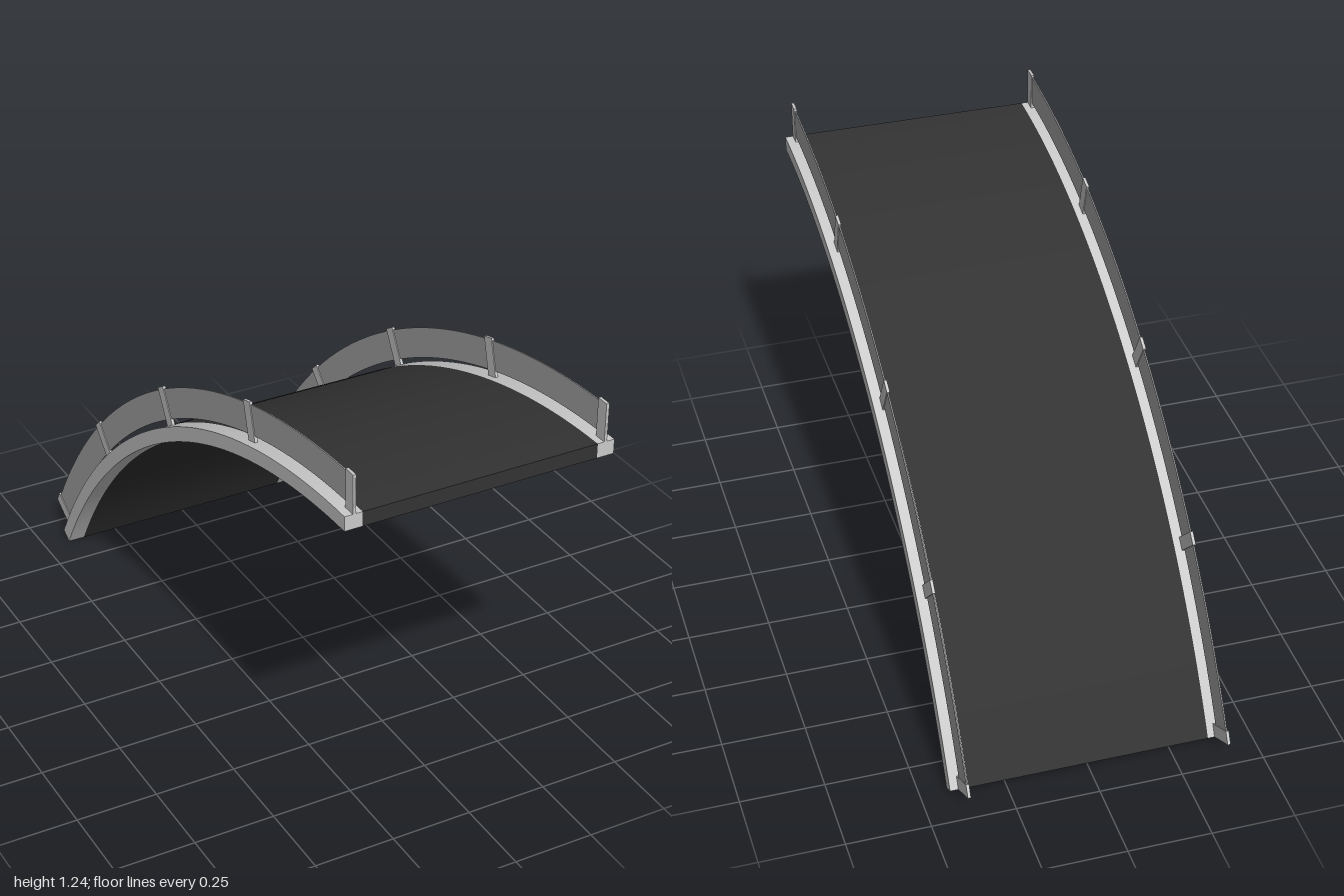
import * as THREE from 'three';
import { toCreasedNormals } from 'three/addons/utils/BufferGeometryUtils.js';

const SWEEP = Math.PI / 3; // the bridge half spans 60 degrees
const CENTRE_Y = -1.075;   // arc centre lies below the crown, at z = 1
const CENTRE_Z = 1;
const INNER = 2.15, OUTER = 2.195;

const grey = new THREE.MeshStandardMaterial({ color: 0xcccccc });
const panelGrey = new THREE.MeshStandardMaterial({ color: 0xaaaaaa });
const asphalt = new THREE.MeshStandardMaterial({ color: 0x333333 });

// Curved band between two radii, running from the crown down to the foot
function arcBand(name, rIn, rOut, x, width, material) {
  const crown = Math.PI / 2, foot = crown - SWEEP;
  const shape = new THREE.Shape();
  shape.absarc(0, 0, rOut, crown, foot, true);
  shape.absarc(0, 0, rIn, foot, crown, false);
  const extruded = new THREE.ExtrudeGeometry(shape, { depth: width, bevelEnabled: false, curveSegments: 40 });
  extruded.translate(0, 0, -width / 2);
  extruded.rotateY(Math.PI / 2);
  const mesh = new THREE.Mesh(toCreasedNormals(extruded, 0.5), material);
  mesh.name = name;
  mesh.position.set(x, CENTRE_Y, CENTRE_Z);
  return mesh;
}

// Railing post standing radially on the deck
function post(x, angle, shift) {
  const height = 0.118, width = 0.04;
  const geometry = new THREE.BoxGeometry(0.009, height, width);
  geometry.translate(0, OUTER + height / 2, shift * width / 2);
  const mesh = new THREE.Mesh(geometry, grey);
  mesh.name = 'railingPost';
  mesh.position.set(x, CENTRE_Y, CENTRE_Z);
  mesh.rotation.x = -angle;
  return mesh;
}

export function createModel() {
  const model = new THREE.Group();
  model.name = 'archedBridgeHalf';

  // Road deck
  model.add(arcBand('roadDeck', INNER, OUTER, 0, 0.728, asphalt));

  for (const side of [-1, 1]) {
    // Edge beam and railing panel
    model.add(arcBand('edgeBeam', INNER, OUTER, side * 0.391, 0.054, grey));
    model.add(arcBand('railingPanel', 2.213, 2.305, side * 0.389, 0.004, panelGrey));

    // Posts every 15 degrees, the end ones set inside the ends
    for (let i = 0; i <= 4; i++) {
      const shift = i === 0 ? -1 : i === 4 ? 1 : 0;
      model.add(post(side * 0.389, SWEEP * i / 4, shift));
    }
  }
  return model;
}
